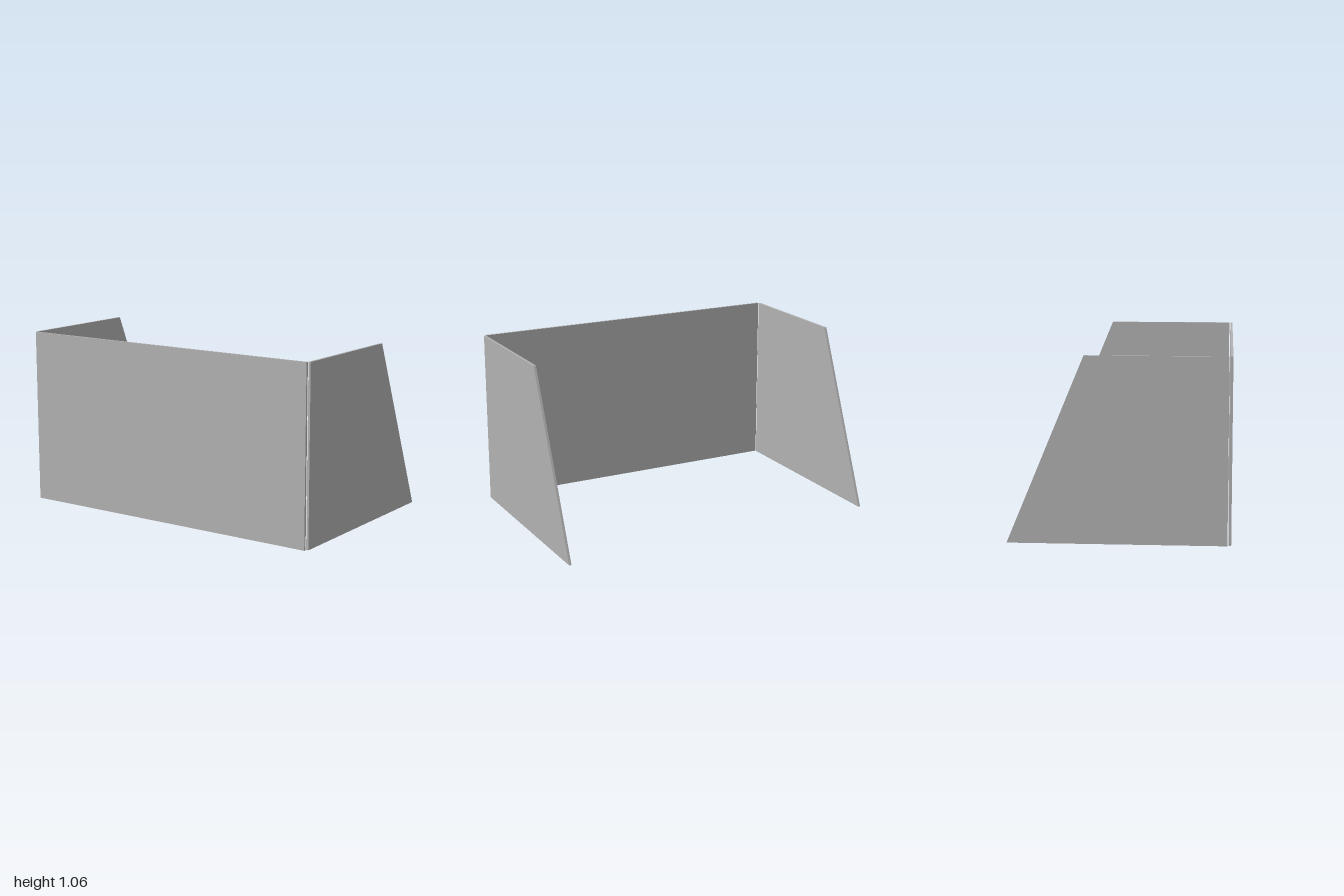
import * as THREE from 'three';

const HEIGHT = 1.064;
const THICK = 0.0145;
const BACK = -0.632;
const FRONT = 0.632;

export function createModel() {
  const model = new THREE.Group();
  model.name = 'deskScreen';
  const panelGrey = new THREE.MeshStandardMaterial({ color: 0xb2b2b2 });
  panelGrey.name = 'panelGrey';

  // Wide front panel, set between the side panels
  const front = new THREE.Mesh(
    new THREE.BoxGeometry(1.972, HEIGHT, THICK), panelGrey);
  front.name = 'frontPanel';
  front.position.set(0, HEIGHT / 2, FRONT - THICK / 2);
  model.add(front);

  // Side panels with a sloping rear edge; shape x runs towards the back
  const profile = new THREE.Shape([
    new THREE.Vector2(-0.611, 0),
    new THREE.Vector2(-BACK, 0),
    new THREE.Vector2(0.19, HEIGHT),
    new THREE.Vector2(-0.611, HEIGHT),
  ]);
  const sideGeometry = new THREE.ExtrudeGeometry(profile, { depth: THICK, bevelEnabled: false });
  sideGeometry.rotateY(Math.PI / 2);
  for (const [name, x] of [['leftPanel', 1 - THICK], ['rightPanel', -1]]) {
    const side = new THREE.Mesh(sideGeometry, panelGrey);
    side.name = name;
    side.position.x = x;
    model.add(side);
  }

  return model;
}
